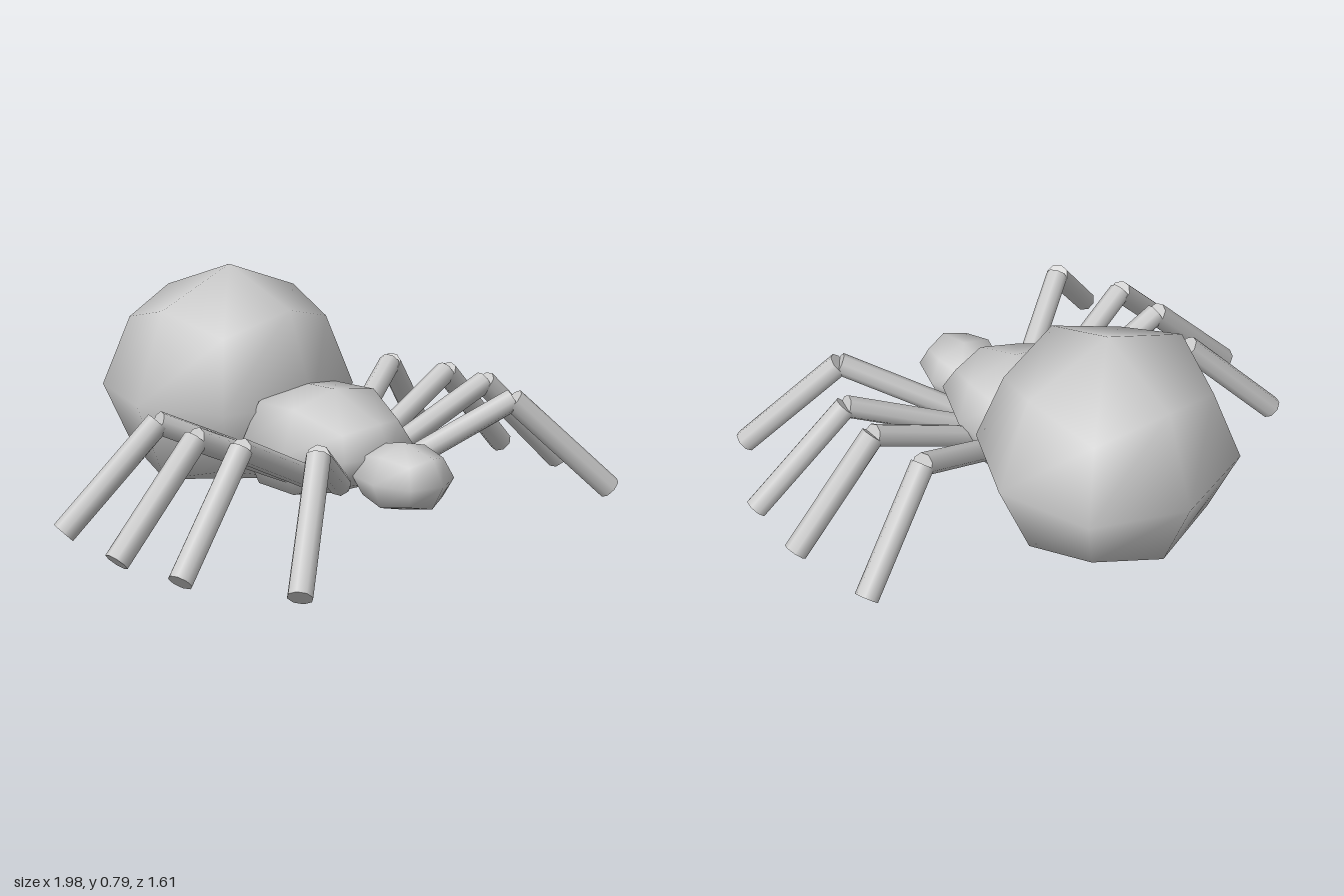
import * as THREE from 'three';
import { mergeVertices } from 'three/addons/utils/BufferGeometryUtils.js';

const material = new THREE.MeshStandardMaterial({ color: 0xcccccc });

// Rounded low-poly body: a cube split 2x2 per face, with edges and corners pulled in.
// place() turns a unit-space vertex into its final position.
function blob(name, edge, corner, place) {
  const box = new THREE.BoxGeometry(2, 2, 2, 2, 2, 2);
  box.deleteAttribute('uv');
  box.deleteAttribute('normal');
  const geometry = mergeVertices(box);
  const pos = geometry.attributes.position;
  const v = new THREE.Vector3();
  for (let i = 0; i < pos.count; i++) {
    v.fromBufferAttribute(pos, i);
    const l1 = Math.round(Math.abs(v.x) + Math.abs(v.y) + Math.abs(v.z));
    v.multiplyScalar([0, 1, edge, corner][l1]);
    place(v);
    pos.setXYZ(i, v.x, v.y, v.z);
  }
  geometry.computeVertexNormals();
  const mesh = new THREE.Mesh(geometry, material);
  mesh.name = name;
  return mesh;
}

// Straight round leg segment between two points
function segment(name, a, b, radius) {
  const dir = b.clone().sub(a);
  const mesh = new THREE.Mesh(new THREE.CylinderGeometry(radius, radius, dir.length(), 8), material);
  mesh.position.copy(a).add(b).multiplyScalar(0.5);
  mesh.quaternion.setFromUnitVectors(new THREE.Vector3(0, 1, 0), dir.normalize());
  mesh.name = name;
  return mesh;
}

export function createModel() {
  const model = new THREE.Group();
  model.name = 'spider';

  // Large abdomen, flattened underneath
  model.add(blob('abdomen', 0.725, 0.565, (v) => {
    const y = v.y < 0 ? Math.max(v.y * 0.4, -0.33) : v.y * 0.44;
    v.set(v.x * 0.445, 0.36 + y, -0.36 + v.z * (v.z > 0 ? 0.42 : 0.45));
  }));

  // Thorax, tapering towards the head
  model.add(blob('thorax', 0.8, 0.65, (v) => {
    const wide = v.z > 0 ? 0.85 : v.z < 0 ? 1.2 : 1;
    const tall = v.z > 0 ? 0.68 : v.z < 0 ? 1.2 : 1;
    v.set(v.x * wide * 0.25, 0.25 + v.y * tall * 0.187, 0.16 + v.z * 0.265);
  }));

  // Small head
  model.add(blob('head', 0.74, 0.58, (v) => {
    v.set(v.x * 0.148, 0.193 + v.y * 0.118, 0.48 + v.z * 0.18);
  }));

  // Four leg pairs, front to back: hip, knee and foot
  const legs = [
    [[0.14, 0.16, 0.32], [0.485, 0.38, 0.555], [0.79, 0.04, 0.765]],
    [[0.18, 0.17, 0.22], [0.605, 0.38, 0.325], [0.955, 0.04, 0.405]],
    [[0.20, 0.18, 0.14], [0.62, 0.38, 0.13], [0.97, 0.04, 0.12]],
    [[0.18, 0.18, 0.04], [0.575, 0.38, -0.105], [0.905, 0.04, -0.225]],
  ];
  for (const side of [1, -1]) {
    legs.forEach((points, i) => {
      const [hip, knee, foot] = points.map(([x, y, z]) => new THREE.Vector3(side * x, y, z));
      // The drawn end of the foot sits slightly inside its outer rim
      foot.x -= side * 0.01;
      const leg = new THREE.Group();
      leg.name = `${side > 0 ? 'left' : 'right'}Leg${i + 1}`;
      leg.add(segment('upperLeg', hip, knee, 0.04), segment('lowerLeg', knee, foot, 0.042));
      model.add(leg);
    });
  }
  return model;
}
